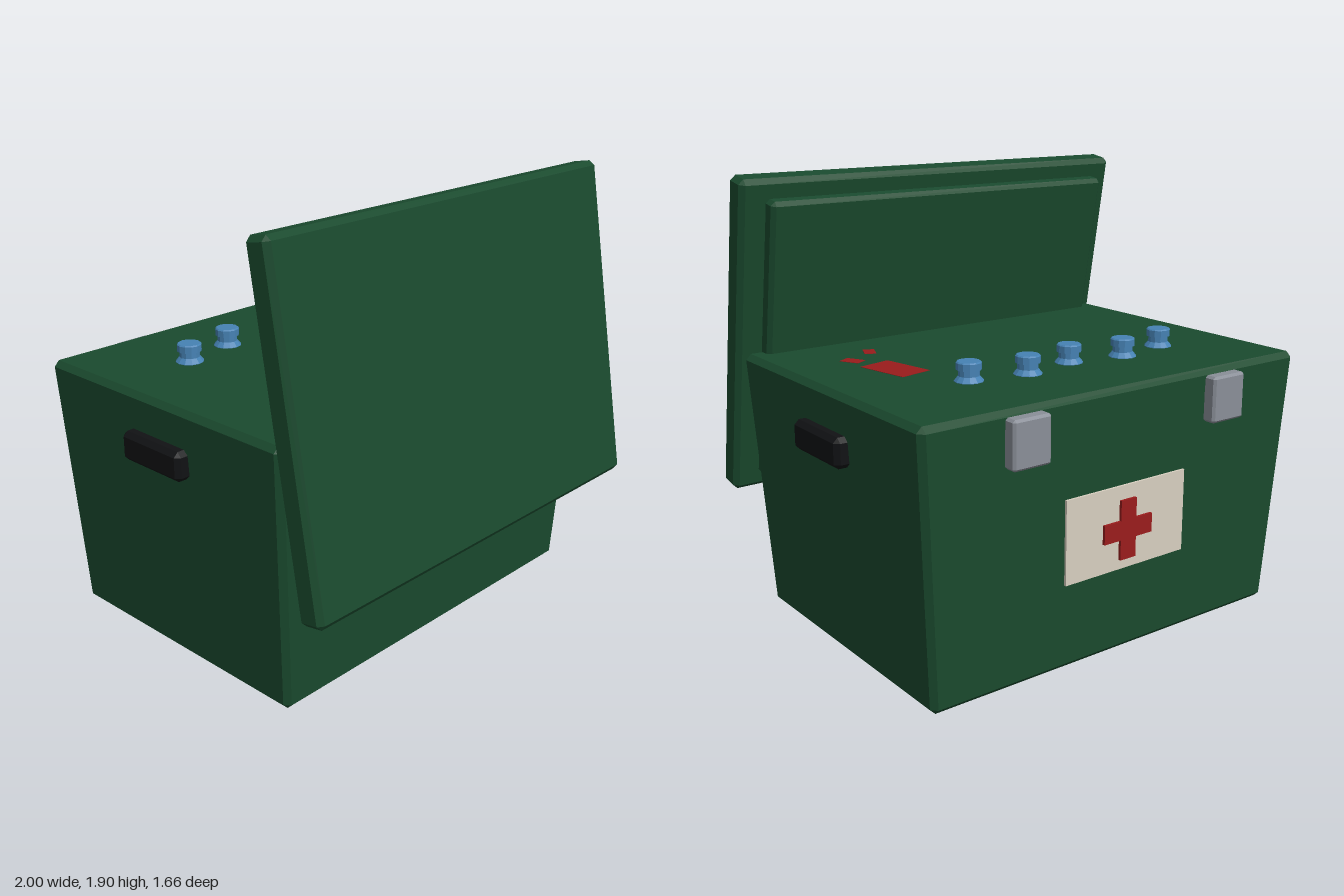
import * as THREE from 'three';
import { ConvexGeometry } from 'three/addons/geometries/ConvexGeometry.js';

const paint = (color) => new THREE.MeshStandardMaterial({ color, flatShading: true });

// Box with chamfered edges; taper(y) scales x and z by height
function chamferBox(w, h, d, c, taper = () => 1) {
  const pts = [];
  for (const sx of [-1, 1]) for (const sy of [-1, 1]) for (const sz of [-1, 1]) {
    for (let axis = 0; axis < 3; axis++) {
      const inset = [c, c, c];
      inset[axis] = 0;
      const y = sy * (h / 2 - inset[1]);
      const k = taper(y);
      pts.push(new THREE.Vector3(sx * (w / 2 - inset[0]) * k, y, sz * (d / 2 - inset[2]) * k));
    }
  }
  return new ConvexGeometry(pts);
}

export function createModel() {
  const model = new THREE.Group();
  model.name = 'firstAidChest';
  const green = paint(0x1a4a2e), black = paint(0x111214), metal = paint(0x8a8f98);
  const blue = paint(0x4682b4), cream = paint(0xd8cfc0), red = paint(0x9a1c1c);

  const add = (name, geometry, material, x, y, z, parent = model) => {
    const mesh = new THREE.Mesh(geometry, material);
    mesh.name = name;
    mesh.position.set(x, y, z);
    parent.add(mesh);
    return mesh;
  };

  // Chest, narrowing towards the bottom
  add('chestBody', chamferBox(1.85, 1.14, 1.334, 0.024, (y) => 1 + (y / 0.57) * 0.037),
    green, 0, 0.57, -0.088);

  // Open lid leaning against the chest, with a raised inner panel
  const lid = new THREE.Group();
  lid.name = 'lid';
  lid.position.set(0, 1.196, 0.653);
  lid.rotation.x = -THREE.MathUtils.degToRad(10);
  model.add(lid);
  add('lidShell', chamferBox(1.97, 1.41, 0.12, 0.022), green, 0, 0, 0, lid);
  add('lidInnerPanel', chamferBox(1.76, 1.255, 0.08, 0.018), green, 0, 0, -0.098, lid);

  // Side handles and latches, mirrored
  for (const s of [-1, 1]) {
    add('sideHandle', chamferBox(0.1, 0.125, 0.35, 0.02), black, s * 0.95, 0.917, -0.085);
    add('latch', chamferBox(0.175, 0.195, 0.065, 0.01), metal, s * 0.507, 1.018, -0.798);
  }

  // Label plate with a cross
  add('labelPlate', new THREE.BoxGeometry(0.62, 0.35, 0.01), cream, 0, 0.565, -0.78);
  const cross = new THREE.Shape();
  const a = 0.04, b = 0.125;
  [[-a, -b], [a, -b], [a, -a], [b, -a], [b, a], [a, a], [a, b], [-a, b], [-a, a], [-b, a], [-b, -a], [-a, -a]]
    .forEach(([x, y], i) => (i ? cross.lineTo(x, y) : cross.moveTo(x, y)));
  cross.closePath();
  add('labelCross', new THREE.ExtrudeGeometry(cross, { depth: 0.014, bevelEnabled: false }),
    red, 0, 0.557, -0.797);

  // Row of bottles showing their shoulders and caps
  const profile = [[0, 1.12], [0.06, 1.12], [0.06, 1.142], [0.043, 1.162], [0.043, 1.185],
    [0.052, 1.187], [0.052, 1.215], [0.047, 1.22], [0, 1.22]].map(([x, y]) => new THREE.Vector2(x, y));
  const bottle = new THREE.LatheGeometry(profile, 12);
  for (let i = 0; i < 5; i++) {
    add('bottle', bottle, blue, -0.562 + i * 0.253, 0, i % 2 ? -0.396 : -0.347);
  }

  // Red pouch just breaking the top surface
  for (const [x, z, w, d, turn] of [[0.58, -0.01, 0.15, 0.25, 0.2], [0.65, 0.21, 0.06, 0.09, 0.5], [0.51, 0.31, 0.05, 0.08, -0.4]]) {
    add('redPouch', new THREE.BoxGeometry(w, 0.04, d), red, x, 1.1215, z).rotation.y = turn;
  }
  return model;
}
